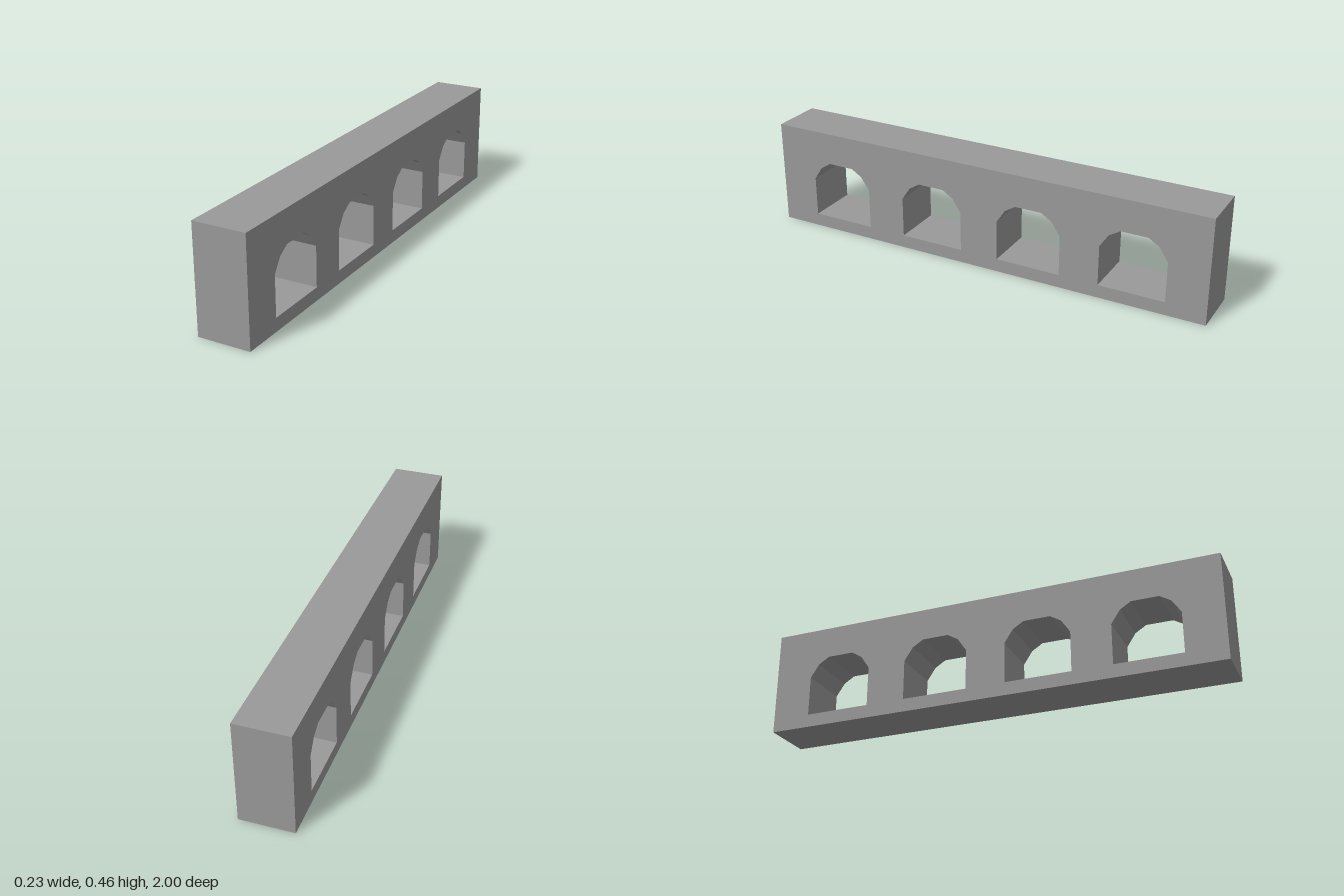
import * as THREE from 'three';

const LENGTH = 2, HEIGHT = 0.458, DEPTH = 0.228;

// Half outline of one arched opening: [offset from its centre, height]
const ARCH = [[0.143, 0.057], [0.143, 0.232], [0.105, 0.289], [0.058, 0.318]];

function archHole(centre) {
  const right = ARCH.map(([u, y]) => new THREE.Vector2(centre + u, y));
  const left = ARCH.map(([u, y]) => new THREE.Vector2(centre - u, y)).reverse();
  return new THREE.Path([...right, ...left]);
}

export function createModel() {
  const group = new THREE.Group();
  group.name = 'archedWall';

  // Wall elevation, drawn lengthwise
  const h = LENGTH / 2;
  const outline = new THREE.Shape([
    new THREE.Vector2(-h, 0), new THREE.Vector2(h, 0),
    new THREE.Vector2(h, HEIGHT), new THREE.Vector2(-h, HEIGHT),
  ]);

  // Four evenly spaced openings
  for (let i = 0; i < 4; i++) outline.holes.push(archHole((i - 1.5) * 0.458));

  // Extrude through the thickness and turn the length along z
  const geometry = new THREE.ExtrudeGeometry(outline, { depth: DEPTH, bevelEnabled: false });
  geometry.translate(0, 0, -DEPTH / 2);
  geometry.rotateY(-Math.PI / 2);

  const wall = new THREE.Mesh(
    geometry,
    new THREE.MeshStandardMaterial({ color: 0x999999, flatShading: true }),
  );
  wall.name = 'wallWithArches';
  group.add(wall);
  return group;
}
